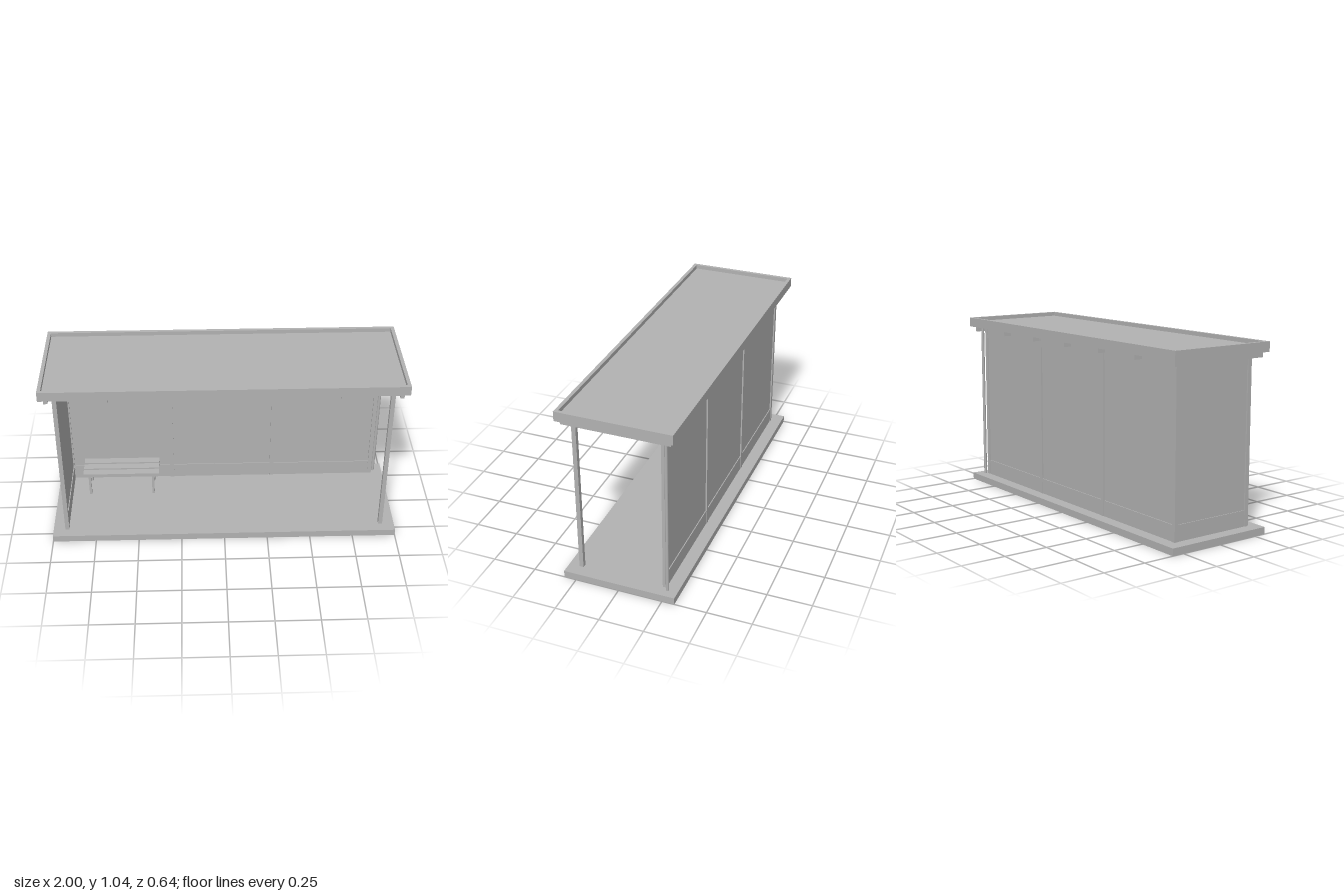
import * as THREE from 'three';

export function createModel() {
  const root = new THREE.Group();
  root.name = 'busShelter';
  const grey = new THREE.MeshStandardMaterial({ color: 0xb2b2b2, side: THREE.DoubleSide });
  grey.name = 'plain grey';

  const add = (name, geometry, parent = root) => {
    const mesh = new THREE.Mesh(geometry, grey);
    mesh.name = name;
    parent.add(mesh);
    return mesh;
  };
  // Box given by its minimum and maximum on each axis
  const box = (name, x0, x1, y0, y1, z0, z1, parent) => {
    const mesh = add(name, new THREE.BoxGeometry(x1 - x0, y1 - y0, z1 - z0), parent);
    mesh.position.set((x0 + x1) / 2, (y0 + y1) / 2, (z0 + z1) / 2);
    return mesh;
  };
  const group = (name) => {
    const g = new THREE.Group();
    g.name = name;
    root.add(g);
    return g;
  };

  const floor = 0.04, eaves = 0.985, half = 0.012;

  // Base slab, hollow underneath
  const base = box('baseSlab', -1, 1, 0, floor, -0.32, 0.32);
  const faces = Array.from(base.geometry.index.array);
  faces.splice(18, 6);
  base.geometry.setIndex(faces);
  base.geometry.clearGroups();

  // Roof: raised fascia around a sunken deck
  const roof = group('roof');
  const rect = (Type, w, d) => new Type([
    new THREE.Vector2(-w, -d), new THREE.Vector2(w, -d),
    new THREE.Vector2(w, d), new THREE.Vector2(-w, d),
  ]);
  const rim = rect(THREE.Shape, 1, 0.32);
  rim.holes.push(rect(THREE.Path, 0.98, 0.3));
  const fascia = add('roofFascia', new THREE.ExtrudeGeometry(rim, { depth: 0.055, bevelEnabled: false }), roof);
  fascia.rotation.x = -Math.PI / 2;
  fascia.position.y = eaves;
  box('roofDeck', -0.98, 0.98, eaves, 1.017, -0.3, 0.3, roof);
  for (let i = -3; i <= 3; i++) {
    const x = i * 0.32;
    box('roofJoist', x - 0.011, x + 0.011, 0.955, eaves, -0.297, 0.3, roof);
  }

  // Posts
  const posts = group('posts');
  const post = (name, x, z) => box(name, x - half, x + half, floor, eaves, z - half, z + half, posts);
  for (const x of [-0.92, 0.92]) post('frontPost', x, 0.248);
  const backX = [-0.92, -0.308, 0.308, 0.92];
  for (const x of backX) post('backPost', x, -0.24);

  // Wall bays: kick plate, thin panel and top rail between posts
  const walls = group('walls');
  const levels = [['kickPlate', floor, 0.13, 0.009], ['wallPanel', 0.13, 0.915, 0.004], ['topRail', 0.915, eaves, 0.009]];
  for (const [name, y0, y1, t] of levels) {
    for (let i = 0; i < 3; i++) {
      box(name, backX[i] + half, backX[i + 1] - half, y0, y1, -0.24 - t, -0.24 + t, walls);
    }
    box(name, -0.92 - t, -0.92 + t, y0, y1, -0.228, 0.236, walls);
  }

  // Triangular gussets under the joists at the middle back posts
  const triangle = new THREE.Shape([
    new THREE.Vector2(0, 0), new THREE.Vector2(0, -0.075), new THREE.Vector2(0.073, 0),
  ]);
  for (const x of [-0.31, 0.31]) {
    const gusset = add('gusset', new THREE.ExtrudeGeometry(triangle, { depth: 0.014, bevelEnabled: false }));
    gusset.rotation.y = -Math.PI / 2;
    gusset.position.set(x + 0.007, 0.955, -0.228);
  }

  // Rain pipe at the open rear corner
  const pipe = add('rainPipe', new THREE.CylinderGeometry(0.009, 0.009, eaves - floor, 12));
  pipe.position.set(0.947, (eaves + floor) / 2, -0.261);

  // Bench: three slats on two bent frames
  const bench = group('bench');
  for (const z of [-0.09, -0.147, -0.204]) {
    box('benchSlat', -0.84, -0.385, 0.177, 0.19, z - 0.023, z + 0.023, bench);
  }
  for (const x of [-0.803, -0.422]) {
    const a = x - 0.007, b = x + 0.007;
    box('benchFrontLeg', a, b, floor, 0.163, -0.082, -0.067, bench);
    box('benchBackLeg', a, b, floor, 0.163, -0.214, -0.199, bench);
    box('benchCrossbar', a, b, 0.163, 0.177, -0.214, -0.067, bench);
  }
  return root;
}
